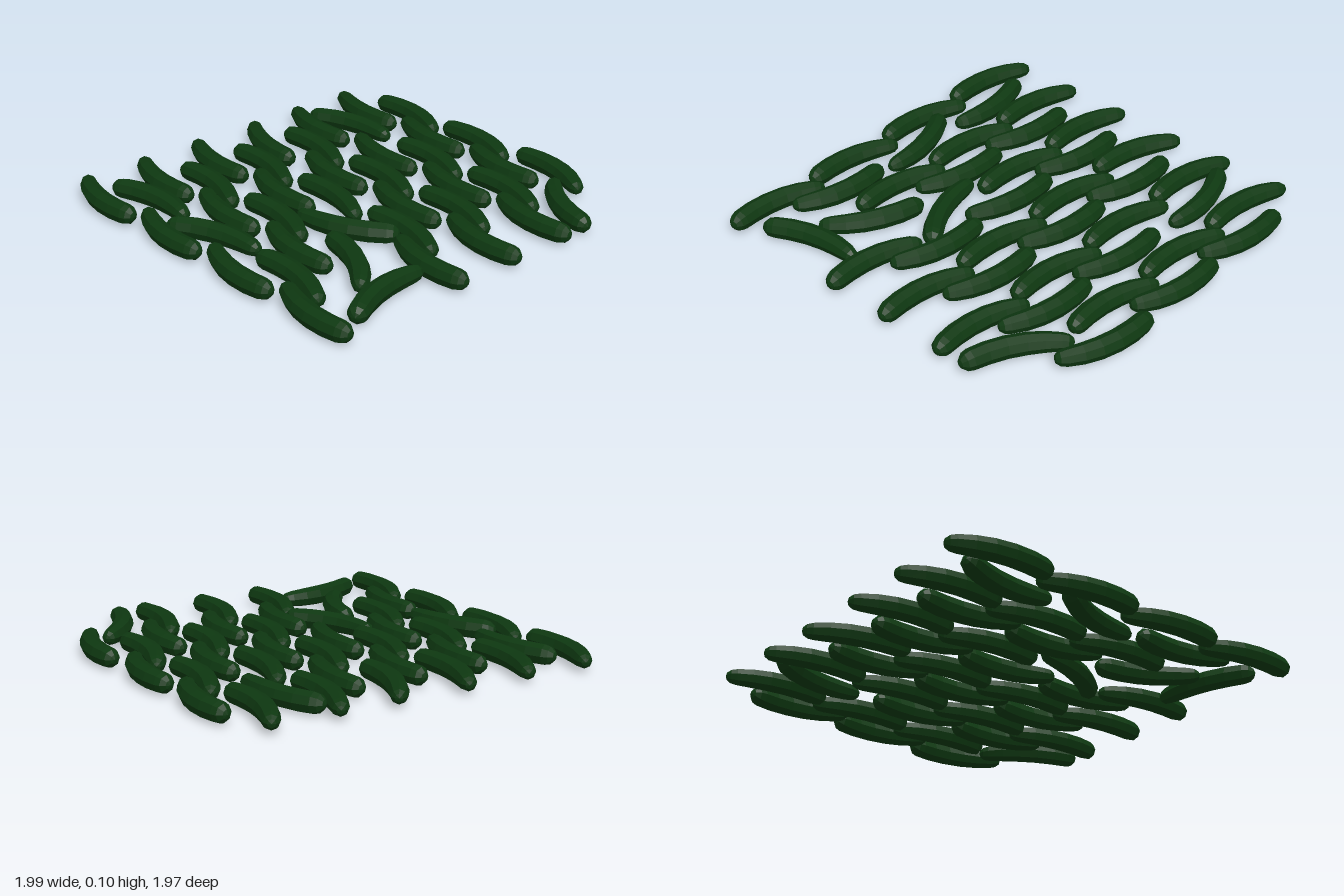
import * as THREE from 'three';

const SIDES = 8, HALF = 0.211, BOW = 0.037, HEIGHT = 0.063;

// Bent rod along x, stout at -x, slimmer at +x, bowed towards -z
function rodGeometry() {
  // [distance along the chord, radius]
  const profile = [
    [-0.26, 0], [-0.253, 0.022], [-0.233, 0.042], [-0.205, 0.049], [-0.13, 0.051], [-0.04, 0.051],
    [0.05, 0.05], [0.13, 0.047], [0.2, 0.041], [0.228, 0.034], [0.246, 0.019], [0.251, 0],
  ];
  const pos = [], index = [];
  for (const [x, r] of profile) {
    const u = THREE.MathUtils.clamp(x / HALF, -1, 1);
    const slope = 2 * BOW * u / HALF;
    const z = -BOW * (1 - u * u) + slope * (x - u * HALF);
    const len = Math.hypot(1, slope), dx = 1 / len, dz = slope / len;
    for (let j = 0; j < SIDES; j++) {
      const a = j / SIDES * Math.PI * 2, s = r * Math.sin(a);
      pos.push(x - dz * s, r * Math.cos(a), z + dx * s);
    }
  }
  const last = profile.length - 2;
  for (let i = 0; i <= last; i++) {
    for (let j = 0; j < SIDES; j++) {
      const k = (j + 1) % SIDES;
      const a = i * SIDES + j, b = i * SIDES + k, c = a + SIDES, d = b + SIDES;
      if (i > 0) index.push(a, b, c);
      if (i < last) index.push(b, d, c);
    }
  }
  const g = new THREE.BufferGeometry();
  g.setAttribute('position', new THREE.Float32BufferAttribute(pos, 3));
  g.setIndex(index);
  g.computeVertexNormals();
  return g;
}

export function createModel() {
  const model = new THREE.Group();
  model.name = 'curvedRodField';
  const green = new THREE.MeshStandardMaterial({ color: 0x0e3811, flatShading: true });
  green.name = 'darkGreen';
  const geometry = rodGeometry();

  // Angle in degrees, clockwise seen from above
  const place = (name, x, z, angle) => {
    const rod = new THREE.Mesh(geometry, green);
    rod.name = name;
    rod.position.set(x, HEIGHT, z);
    rod.rotation.y = -THREE.MathUtils.degToRad(angle);
    model.add(rod);
  };

  // Regular rows: columns filled in each row, alternating direction
  const PITCH_X = 0.493, PITCH_Z = 0.3315;
  const forwardRows = [[0, 1], [1, 2], [0, 1, 2], [0, 1, 2], [0, 1], [2]];
  const reversedRows = [[0, 1, 2], [0, 1, 2, 3], [1, 2, 3], [0, 1, 3], [0, 1, 2], [0, 1, 2, 3]];
  forwardRows.forEach((cols, r) => cols.forEach((c) =>
    place('forwardRod', -0.53 + c * PITCH_X, -0.882 + r * PITCH_Z, 9.8)));
  reversedRows.forEach((cols, r) => cols.forEach((c) =>
    place('reversedRod', -0.743 + c * PITCH_X, -0.768 + r * PITCH_Z, 189.8)));

  // Rods turned out of line: x, z, angle
  const strays = [
    [0.455, -0.885, 14], [0.757, -0.66, 212], [-0.634, -0.561, -10],
    [-0.743, -0.107, 197.5], [0.227, 0.251, 158], [0.505, 0.497, 27.5],
    [0.824, 0.564, 257], [-0.578, 0.751, -5], [-0.075, 0.77, -15.4],
  ];
  for (const [x, z, angle] of strays) place('strayRod', x, z, angle);

  return model;
}
